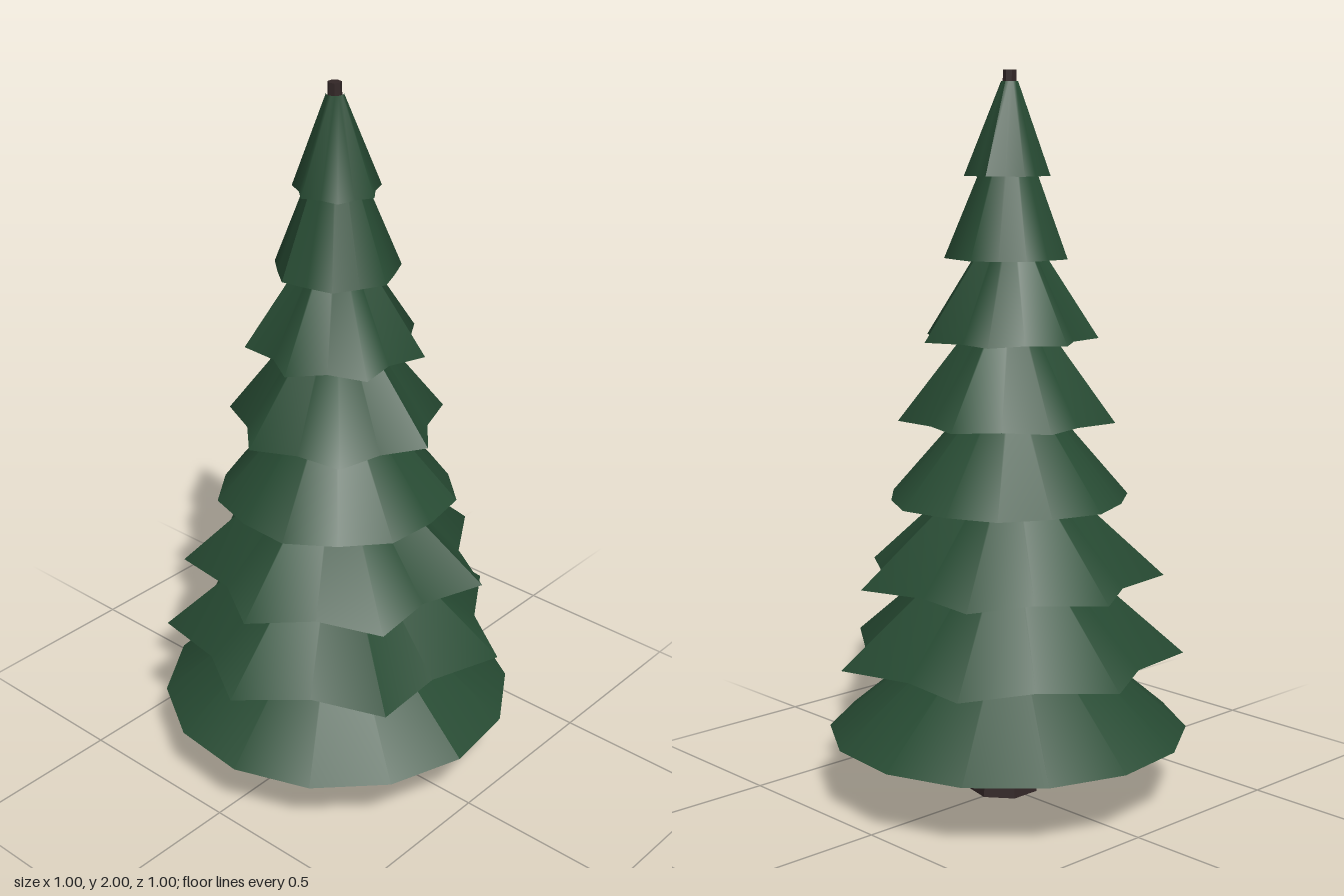
import * as THREE from 'three';

const needles = new THREE.MeshStandardMaterial({ color: 0x274b33 });
needles.name = 'needleGreen';
const bark = new THREE.MeshStandardMaterial({ color: 0x332727 });
bark.name = 'barkBrown';

const POINTS = 7;

// Loft a star-shaped skirt up to a small round collar, with a flat underside.
function tierGeometry({ y, top, outer, inner, start, collar = 0.02 }) {
  const n = POINTS * 2;
  const pos = [], index = [];
  const ring = (h, radius, cx) => {
    const first = pos.length / 3;
    for (let i = 0; i <= n; i++) {
      const a = THREE.MathUtils.degToRad(start) + (i / n) * Math.PI * 2;
      const r = radius(i);
      pos.push(cx + r * Math.cos(a), h, r * Math.sin(a));
    }
    return first;
  };
  const star = (i) => (i % 2 ? inner : outer);
  const b = ring(y, star, 0);
  const t = ring(top, () => collar, -0.007);
  const u = ring(y, star, 0);
  const centre = pos.length / 3;
  pos.push(0, y, 0);
  for (let i = 0; i < n; i++) {
    index.push(b + i, t + i, b + i + 1, b + i + 1, t + i, t + i + 1);
    index.push(centre, u + i, u + i + 1);
  }
  const g = new THREE.BufferGeometry();
  g.setAttribute('position', new THREE.Float32BufferAttribute(pos, 3));
  g.setIndex(index);
  g.computeVertexNormals();
  return g;
}

// Tapering, slightly leaning seven-sided trunk, widest at the foot.
function trunkGeometry() {
  const levels = [[0, 0.1, 0.017], [0.19, 0.084, 0.016], [2, 0.018, -0.008]];
  const g = new THREE.CylinderGeometry(1, 1, 2, 7, levels.length - 1);
  const p = g.attributes.position;
  for (let i = 0; i < p.count; i++) {
    const [h, r, cx] = levels[Math.round(p.getY(i) + 1)];
    // quarter turn puts a corner on +x
    p.setXYZ(i, cx + p.getZ(i) * r, h, -p.getX(i) * r);
  }
  const flat = g.toNonIndexed();
  flat.computeVertexNormals();
  return flat;
}

export function createModel() {
  const tree = new THREE.Group();
  tree.name = 'pineTree';

  const trunk = new THREE.Mesh(trunkGeometry(), bark);
  trunk.name = 'trunk';
  tree.add(trunk);

  // Branch tiers from the ground up; start is the angle of the first point in degrees.
  const tiers = [
    { y: 0.185, top: 0.59, outer: 0.502, inner: 0.502, start: 5.7 },
    { y: 0.405, top: 0.81, outer: 0.49, inner: 0.4, start: 33.1 },
    { y: 0.625, top: 1.0, outer: 0.433, inner: 0.348, start: 340.6 },
    { y: 0.845, top: 1.21, outer: 0.337, inner: 0.322, start: 331 },
    { y: 1.065, top: 1.43, outer: 0.302, inner: 0.25, start: 355.8 },
    { y: 1.285, top: 1.63, outer: 0.247, inner: 0.195, start: 133 },
    { y: 1.503, top: 1.88, outer: 0.172, inner: 0.157, start: 104 },
    { y: 1.722, top: 1.97, outer: 0.119, inner: 0.1, start: 253, collar: 0.023 },
  ];
  tiers.forEach((tier, i) => {
    const mesh = new THREE.Mesh(tierGeometry(tier), needles);
    mesh.name = `branchTier${i + 1}`;
    tree.add(mesh);
  });
  return tree;
}
